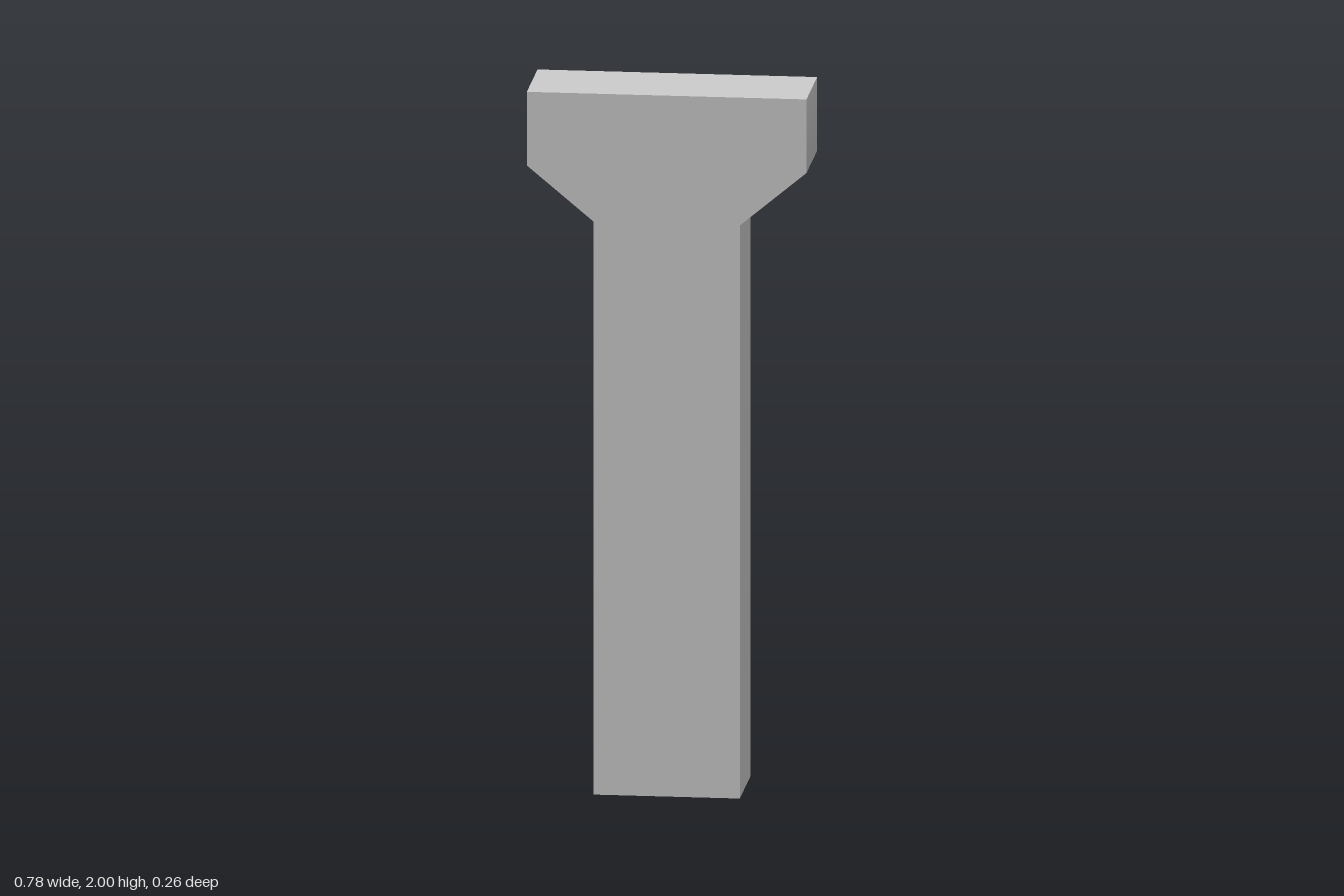
import * as THREE from 'three';

const HEAD = 0.39, SHAFT = 0.204, DEPTH = 0.262;
const TOP = 2, SHOULDER = 1.79, NECK = 1.635;

export function createModel() {
  const group = new THREE.Group();
  group.name = 'pillar';

  // Right half of the outline, mirrored for the other side
  const half = [[SHAFT, 0], [SHAFT, NECK], [HEAD, SHOULDER], [HEAD, TOP]];
  const outline = [...half, ...half.map(([x, y]) => [-x, y]).reverse()];
  const shape = new THREE.Shape(outline.map(([x, y]) => new THREE.Vector2(x, y)));
  const geometry = new THREE.ExtrudeGeometry(shape, { depth: DEPTH, bevelEnabled: false });
  geometry.translate(0, 0, -DEPTH / 2);

  // Blend the shading across the shoulder edge between head side and slope
  const slope = new THREE.Vector2(SHOULDER - NECK, SHAFT - HEAD).normalize();
  const blend = slope.add(new THREE.Vector2(1, 0)).normalize();
  const { position, normal } = geometry.attributes;
  for (let i = 0; i < position.count; i++) {
    const onShoulder = Math.abs(position.getY(i) - SHOULDER) < 1e-4;
    if (onShoulder && Math.abs(normal.getZ(i)) < 0.5) {
      normal.setXYZ(i, Math.sign(position.getX(i)) * blend.x, blend.y, 0);
    }
  }

  // Shaft with flared head
  const mesh = new THREE.Mesh(geometry, new THREE.MeshStandardMaterial({ color: 0xcccccc }));
  mesh.name = 'shaftWithFlaredHead';
  group.add(mesh);
  return group;
}
